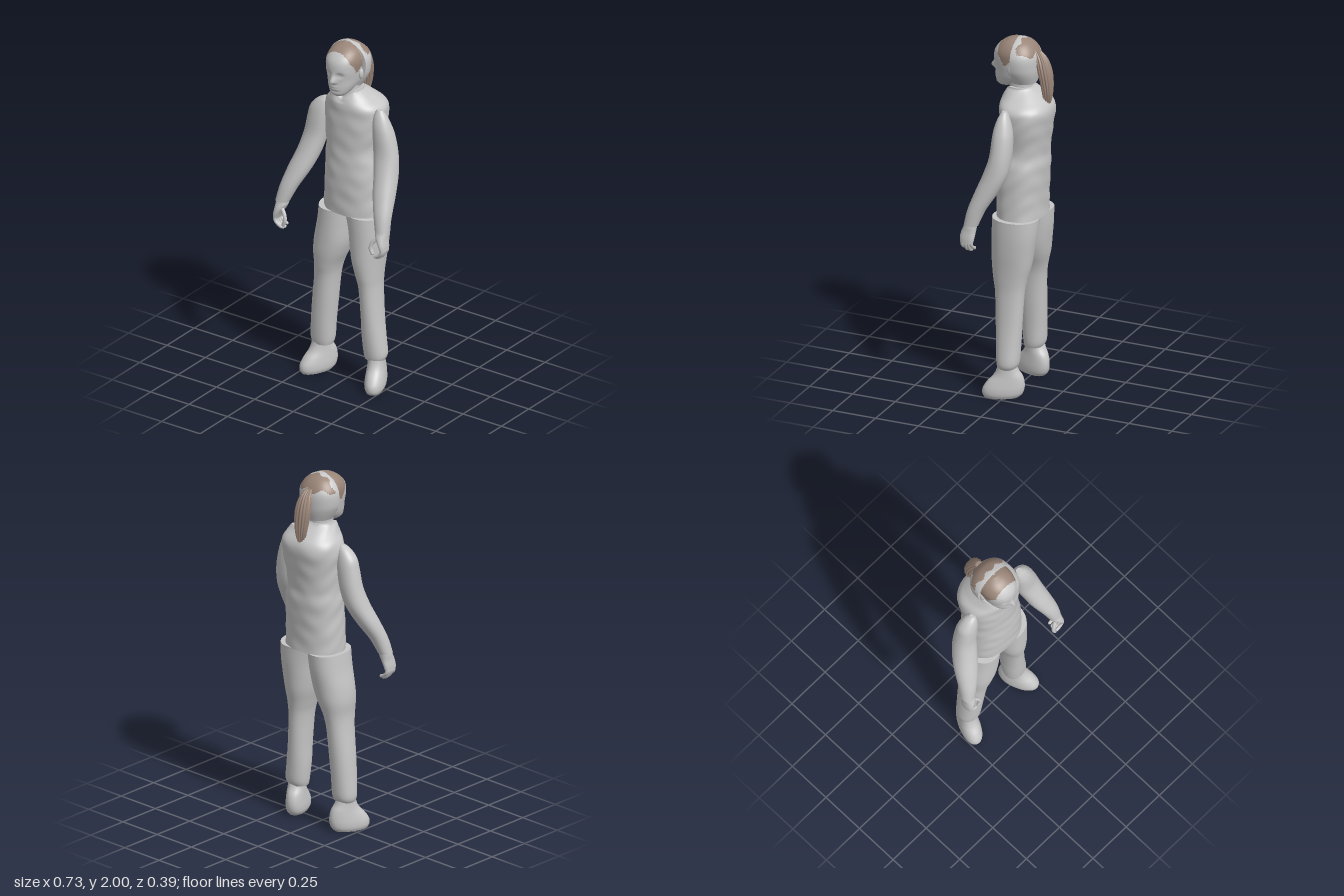
import * as THREE from 'three';

const grey = new THREE.MeshStandardMaterial({ color: 0xc6c6c6, side: THREE.DoubleSide });
grey.name = 'plain grey';
const brown = new THREE.MeshStandardMaterial({ color: 0x9a8578, side: THREE.DoubleSide });
brown.name = 'hair brown';

const spline = (a, b, c, d, t) =>
  0.5 * (2 * b + (c - a) * t + (2 * a - 5 * b + 4 * c - d) * t * t + (3 * b - a - 3 * c + d) * t * t * t);
const bell = (v, w) => Math.exp(-(v * v) / (w * w));

// Smooth body through horizontal rings [y, xMin, xMax, zBack, zFront], bottom to top.
// bend moves a vertex; paint picks material 0 or 1 for each face.
function loft(rings, { sides = 32, steps = 5, power = 2.2, bend, paint } = {}) {
  const rows = [];
  const last = rings.length - 1;
  for (let i = 0; i < last; i++) {
    for (let s = 0; s < steps + (i === last - 1 ? 1 : 0); s++) {
      rows.push(rings[i].map((_, k) => spline(rings[Math.max(i - 1, 0)][k], rings[i][k],
        rings[i + 1][k], rings[Math.min(i + 2, last)][k], s / steps)));
    }
  }
  const pos = [];
  const faces = [[], []];
  const round = (v) => Math.sign(v) * Math.abs(v) ** (2 / power);
  const addRow = ([y, x0, x1, z0, z1]) => {
    for (let j = 0; j < sides; j++) {
      const a = (j / sides) * Math.PI * 2;
      const p = new THREE.Vector3((x0 + x1) / 2 + (x1 - x0) / 2 * round(Math.cos(a)), y,
        (z0 + z1) / 2 + (z1 - z0) / 2 * round(Math.sin(a)));
      if (bend) bend(p, a);
      pos.push(p.x, p.y, p.z);
    }
  };
  const addFace = (...ids) => {
    const mid = [0, 1, 2].map((k) => ids.reduce((sum, id) => sum + pos[id * 3 + k], 0) / 3);
    faces[paint && paint(...mid) ? 1 : 0].push(...ids);
  };
  rows.forEach(addRow);
  for (let i = 0; i < rows.length - 1; i++) {
    for (let j = 0; j < sides; j++) {
      const a = i * sides + j, b = i * sides + (j + 1) % sides;
      addFace(a, a + sides, b);
      addFace(b, a + sides, b + sides);
    }
  }
  // End caps on their own vertices, so the rims stay sharp
  [rows[0], rows[rows.length - 1]].forEach((row, top) => {
    const start = pos.length / 3;
    addRow(row);
    const centre = [0, 0, 0];
    for (let j = 0; j < sides; j++) for (let k = 0; k < 3; k++) centre[k] += pos[(start + j) * 3 + k] / sides;
    pos.push(...centre);
    for (let j = 0; j < sides; j++) {
      const a = start + j, b = start + (j + 1) % sides;
      if (top) addFace(start + sides, b, a);
      else addFace(start + sides, a, b);
    }
  });
  const geo = new THREE.BufferGeometry();
  geo.setAttribute('position', new THREE.Float32BufferAttribute(pos, 3));
  geo.setIndex([...faces[0], ...faces[1]]);
  geo.addGroup(0, faces[0].length, 0);
  geo.addGroup(faces[0].length, faces[1].length, 1);
  geo.computeVertexNormals();
  return geo;
}

function add(parent, name, geometry, material = grey) {
  const mesh = new THREE.Mesh(geometry, material);
  mesh.name = name;
  parent.add(mesh);
  return mesh;
}

// Right hand, palm turned inward with curled fingers
function makeHand(name) {
  const hand = new THREE.Group();
  hand.name = name;
  add(hand, 'palm', loft([
    [0.915, -0.362, -0.335, 0.118, 0.19], [0.945, -0.362, -0.322, 0.112, 0.195],
    [0.98, -0.358, -0.3, 0.11, 0.19], [1.01, -0.357, -0.288, 0.108, 0.178], [1.04, -0.35, -0.295, 0.11, 0.17],
  ], { sides: 20, steps: 3 }));
  const digit = (label, points, r) => {
    const path = new THREE.CatmullRomCurve3(points.map((p) => new THREE.Vector3(...p)));
    add(hand, label, new THREE.TubeGeometry(path, 12, r, 10));
    add(hand, label + 'Tip', new THREE.SphereGeometry(r, 10, 8)).position.set(...points[points.length - 1]);
  };
  [0, 0.012, 0.01, 0].forEach((drop, i) => {
    const z = 0.127 + i * 0.018;
    digit('finger', [[-0.348, 0.935, z], [-0.344, 0.905, z], [-0.327, 0.888 - drop, z], [-0.307, 0.878 - drop, z]], 0.0095);
  });
  digit('thumb', [[-0.315, 0.985, 0.165], [-0.287, 0.955, 0.178], [-0.279, 0.925, 0.184], [-0.289, 0.895, 0.184]], 0.0105);
  return hand;
}

export function createModel() {
  const model = new THREE.Group();
  model.name = 'standingFigure';

  // Sleeveless top with soft creases and a V neckline
  add(model, 'torso', loft([
    [1.01, -0.145, 0.2, -0.155, 0.1], [1.1, -0.145, 0.196, -0.155, 0.1], [1.2, -0.14, 0.195, -0.16, 0.1],
    [1.3, -0.14, 0.19, -0.165, 0.095], [1.38, -0.136, 0.172, -0.163, 0.09], [1.5, -0.145, 0.19, -0.178, 0.09],
    [1.59, -0.152, 0.2, -0.19, 0.086], [1.64, -0.142, 0.188, -0.182, 0.085], [1.68, -0.108, 0.135, -0.145, 0.08],
    [1.72, -0.08, 0.09, -0.092, 0.07], [1.735, -0.074, 0.084, -0.08, 0.062],
  ], {
    sides: 56, steps: 6, power: 2.3,
    bend: (p, a) => {
      const crease = 0.002 * Math.sin(p.y * 55 + 3 * Math.sin(a * 2)) * Math.sin(a * 3 + p.y * 9);
      p.x += crease * Math.cos(a);
      p.z += crease * Math.sin(a);
      if (p.z > 0 && p.y > 1.66) {
        p.y -= 0.055 * Math.max(0, 1 - Math.abs(p.x - 0.004) / 0.07) * (p.y - 1.66) / 0.075;
      }
    },
  }));

  // Trouser legs
  add(model, 'rightLeg', loft([
    [0.165, -0.222, -0.108, -0.055, 0.045], [0.2, -0.234, -0.1, -0.07, 0.052], [0.3, -0.228, -0.094, -0.075, 0.06],
    [0.42, -0.218, -0.083, -0.08, 0.066], [0.58, -0.2, -0.068, -0.088, 0.075], [0.66, -0.196, -0.05, -0.1, 0.088],
    [0.74, -0.203, -0.016, -0.12, 0.098], [0.82, -0.197, 0.008, -0.133, 0.1], [0.92, -0.18, 0.018, -0.148, 0.1],
    [1.012, -0.17, 0.025, -0.155, 0.1],
  ]));
  add(model, 'leftLeg', loft([
    [0.165, 0.118, 0.23, -0.055, 0.045], [0.2, 0.11, 0.24, -0.07, 0.052], [0.3, 0.102, 0.228, -0.075, 0.06],
    [0.42, 0.1, 0.214, -0.08, 0.066], [0.58, 0.09, 0.204, -0.088, 0.075], [0.66, 0.072, 0.206, -0.1, 0.088],
    [0.74, 0.05, 0.212, -0.12, 0.098], [0.82, 0.036, 0.22, -0.133, 0.1], [0.92, 0.022, 0.226, -0.148, 0.1],
    [1.012, 0, 0.226, -0.155, 0.1],
  ]));

  // Shoes, toes turned out
  const shoe = loft([
    [0, -0.045, 0.045, -0.07, 0.115], [0.02, -0.054, 0.054, -0.09, 0.125], [0.05, -0.056, 0.056, -0.1, 0.122],
    [0.085, -0.053, 0.053, -0.1, 0.1], [0.12, -0.049, 0.049, -0.09, 0.068], [0.155, -0.046, 0.046, -0.068, 0.05],
    [0.2, -0.045, 0.045, -0.05, 0.04],
  ]);
  for (const [name, x, turn] of [['rightShoe', -0.178, -0.4], ['leftShoe', 0.185, 0.4]]) {
    const mesh = add(model, name, shoe);
    mesh.position.x = x;
    mesh.rotation.y = turn;
  }

  // Sleeves
  add(model, 'rightArm', loft([
    [1.015, -0.363, -0.287, 0.1, 0.178], [1.1, -0.35, -0.25, 0.065, 0.162], [1.2, -0.328, -0.2, 0.005, 0.128],
    [1.3, -0.297, -0.165, -0.042, 0.09], [1.4, -0.272, -0.142, -0.058, 0.06], [1.5, -0.252, -0.128, -0.058, 0.052],
    [1.56, -0.236, -0.124, -0.05, 0.045], [1.605, -0.198, -0.126, -0.035, 0.03], [1.628, -0.158, -0.132, -0.015, 0.012],
  ], { sides: 28 }));
  add(model, 'leftArm', loft([
    [1.015, 0.285, 0.36, 0.1, 0.178], [1.1, 0.26, 0.357, 0.065, 0.162], [1.2, 0.225, 0.346, 0.005, 0.128],
    [1.3, 0.202, 0.332, -0.042, 0.09], [1.4, 0.18, 0.318, -0.058, 0.06], [1.5, 0.172, 0.295, -0.058, 0.052],
    [1.56, 0.17, 0.274, -0.048, 0.045], [1.61, 0.174, 0.25, -0.032, 0.03], [1.645, 0.188, 0.222, -0.015, 0.012],
  ], { sides: 28 }));
  model.add(makeHand('rightHand'));
  const leftHand = makeHand('leftHand');
  leftHand.scale.x = -1;
  model.add(leftHand);

  // Neck and head, with facial features raised by rule and the hair front coloured
  add(model, 'neck', loft([
    [1.64, -0.065, 0.073, -0.085, 0.05], [1.73, -0.058, 0.066, -0.075, 0.055], [1.8, -0.06, 0.068, -0.08, 0.06],
  ]));
  add(model, 'head', loft([
    [1.72, -0.025, 0.033, 0.05, 0.118], [1.738, -0.048, 0.056, 0.01, 0.132], [1.775, -0.07, 0.078, -0.06, 0.136],
    [1.82, -0.083, 0.091, -0.098, 0.136], [1.87, -0.091, 0.099, -0.108, 0.143], [1.92, -0.093, 0.101, -0.104, 0.136],
    [1.96, -0.077, 0.085, -0.08, 0.107], [1.985, -0.048, 0.056, -0.045, 0.07], [1.998, -0.012, 0.02, 0, 0.03],
  ], {
    sides: 80, steps: 8,
    bend: (p) => {
      if (p.z < 0.05) return;
      const x = p.x - 0.004, y = p.y;
      const nose = y > 1.812 ? bell(y - 1.812, 0.032) : bell(y - 1.812, 0.011);
      p.z += 0.032 * bell(x, 0.015) * nose;
      p.z -= 0.012 * bell(Math.abs(x) - 0.035, 0.017) * bell(y - 1.85, 0.013);
      p.z += 0.005 * bell(Math.abs(x) - 0.035, 0.009) * bell(y - 1.85, 0.005);
      p.z += bell(x, 0.025) * (0.008 * bell(y - 1.773, 0.012) - 0.007 * bell(y - 1.773, 0.004));
      p.z -= 0.004 * bell(x, 0.03) * bell(y - 1.753, 0.007);
    },
    paint: (x, y, z) => z > 0.008 && z < 0.098 && y > 1.868 + 0.012 * Math.sin(z * 90) + Math.max(0, z - 0.055) * 0.9,
  }), [grey, brown]);

  // Shell of hair behind the ears, flat at its front edge
  add(model, 'backHair', loft([
    [1.755, -0.07, 0.078, -0.095, 0.07], [1.8, -0.095, 0.104, -0.107, 0.09], [1.84, -0.11, 0.119, -0.112, 0.1],
    [1.9, -0.114, 0.123, -0.112, 0.1], [1.94, -0.1, 0.109, -0.098, 0.09], [1.975, -0.068, 0.077, -0.068, 0.065],
    [1.995, -0.025, 0.034, -0.03, 0.03], [2, -0.01, 0.018, -0.01, 0.015],
  ], {
    sides: 64, steps: 6,
    bend: (p) => { p.z = Math.min(p.z, 0.008); },
    paint: (x, y, z) => z < -0.022 + 0.008 * Math.sin(x * 90) && y > 1.925 + 0.012 * Math.sin(x * 70),
  }), [grey, brown]);
  for (const s of [-1, 1]) {
    const ear = add(model, s < 0 ? 'rightEar' : 'leftEar', new THREE.SphereGeometry(1, 16, 12));
    ear.scale.set(0.011, 0.03, 0.018);
    ear.position.set(0.004 + s * 0.093, 1.835, 0.012);
  }

  // Fluted ponytail
  add(model, 'ponytail', loft([
    [1.625, 0.0, 0.016, -0.165, -0.145], [1.66, -0.012, 0.026, -0.18, -0.14], [1.72, -0.028, 0.04, -0.189, -0.134],
    [1.8, -0.038, 0.05, -0.186, -0.118], [1.86, -0.034, 0.046, -0.172, -0.104], [1.905, -0.024, 0.034, -0.15, -0.092],
    [1.935, -0.014, 0.022, -0.12, -0.08],
  ], {
    sides: 72, steps: 5,
    bend: (p, a) => {
      const flute = 0.003 * Math.cos(a * 14);
      p.x += flute * Math.cos(a);
      p.z += flute * Math.sin(a);
    },
  }), brown);

  return model;
}
